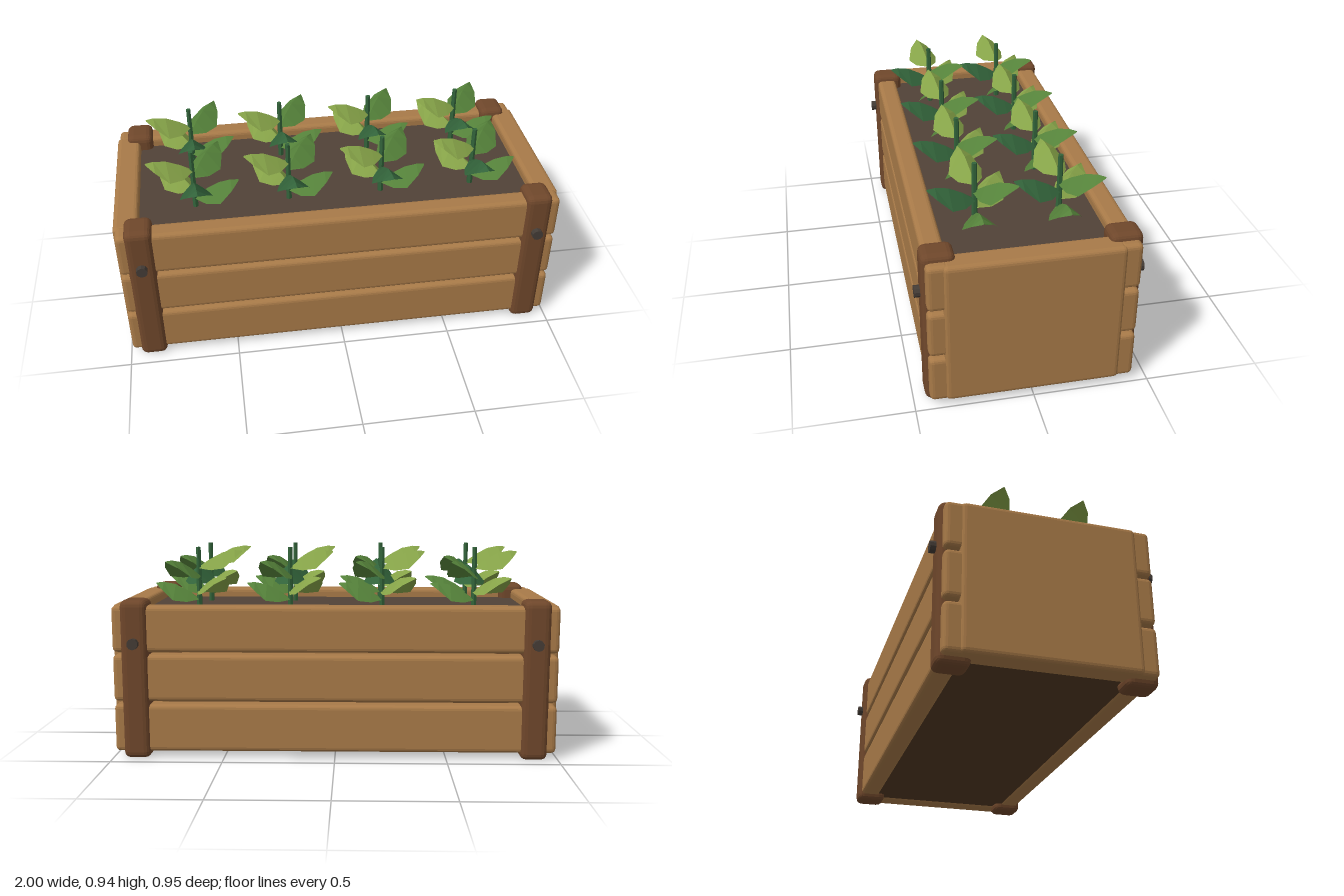
import * as THREE from 'three';
import { RoundedBoxGeometry } from 'three/addons/geometries/RoundedBoxGeometry.js';

const mat = (name, color, side = THREE.FrontSide) => {
  const m = new THREE.MeshStandardMaterial({ color, flatShading: true, side });
  m.name = name;
  return m;
};

// Folded leaf along +x: a raised ridge with two drooping edges
function leafGeometry() {
  // [distance, half width, ridge height, edge height]
  const sections = [
    [0, 0.012, 0, -0.005], [0.05, 0.052, 0.035, -0.012], [0.11, 0.073, 0.066, -0.003],
    [0.165, 0.045, 0.076, 0.042], [0.2, 0.004, 0.073, 0.068],
  ];
  const pos = [];
  const index = [];
  sections.forEach(([s, w, ridge, edge], i) => {
    pos.push(s, edge, -w, s, ridge, 0, s, edge, w);
    if (i === 0) return;
    const a = (i - 1) * 3, b = i * 3;
    for (const k of [0, 1]) index.push(a + k, a + k + 1, b + k + 1, a + k, b + k + 1, b + k);
  });
  const g = new THREE.BufferGeometry();
  g.setAttribute('position', new THREE.Float32BufferAttribute(pos, 3));
  g.setIndex(index);
  g.computeVertexNormals();
  return g;
}

export function createModel() {
  const root = new THREE.Group();
  root.name = 'planterBox';

  const wood = mat('plank wood', 0xa87a48);
  const darkWood = mat('post wood', 0x6f472b);
  const baseWood = mat('base wood', 0x523822);
  const soilMat = mat('soil', 0x514237);
  const metal = mat('bolt metal', 0x443c36);
  const darkGreen = mat('dark green', 0x32633a, THREE.DoubleSide);
  const midGreen = mat('mid green', 0x55823a, THREE.DoubleSide);
  const lightGreen = mat('light green', 0x86a348, THREE.DoubleSide);

  const add = (parent, name, geometry, material, x, y, z) => {
    const m = new THREE.Mesh(geometry, material);
    m.name = name;
    m.position.set(x, y, z);
    parent.add(m);
    return m;
  };

  // Three long slats on the front and back, with open gaps
  for (const z of [-0.388, 0.388]) {
    for (const [y0, y1] of [[0.03, 0.245], [0.26, 0.47], [0.483, 0.69]]) {
      add(root, 'sideSlat', new RoundedBoxGeometry(1.98, y1 - y0, 0.095, 2, 0.02), wood, 0, (y0 + y1) / 2, z);
    }
  }

  // Solid end panels
  const panel = new RoundedBoxGeometry(0.11, 0.66, 0.74, 2, 0.02);
  for (const x of [-0.945, 0.945]) add(root, 'endPanel', panel, wood, x, 0.36, 0);

  // Corner posts, each with a bolt
  const post = new RoundedBoxGeometry(0.122, 0.717, 0.14, 2, 0.03);
  const bolt = new THREE.CylinderGeometry(0.025, 0.025, 0.06, 10).rotateX(Math.PI / 2);
  for (const x of [-0.89, 0.89]) {
    for (const s of [-1, 1]) {
      add(root, 'cornerPost', post, darkWood, x, 0.3585, s * 0.381);
      add(root, 'bolt', bolt, metal, x, 0.525, s * 0.445);
    }
  }

  // Base board and soil layer
  add(root, 'baseBoard', new THREE.BoxGeometry(1.84, 0.06, 0.72), baseWood, 0, 0.067, 0);
  add(root, 'soil', new THREE.BoxGeometry(1.8, 0.1, 0.7), soilMat, 0, 0.595, 0);

  // Seedlings with leaves spiralling up the stem
  const stem = new THREE.CylinderGeometry(0.011, 0.014, 0.315, 6);
  const leaf = leafGeometry();
  const greens = [midGreen, lightGreen, darkGreen];
  for (const z of [-0.18, 0.18]) {
    for (let c = 0; c < 4; c++) {
      const plant = new THREE.Group();
      plant.name = 'seedling';
      plant.position.set(-0.638 + c * 0.425, 0, z);
      add(plant, 'stem', stem, darkGreen, 0, 0.778, 0);
      for (let i = 0; i < 5; i++) {
        const l = add(plant, 'leaf', leaf, greens[i % 3], 0, 0.697 + i * 0.0365, 0);
        l.rotation.y = THREE.MathUtils.degToRad(137.5 * i);
      }
      root.add(plant);
    }
  }
  return root;
}
